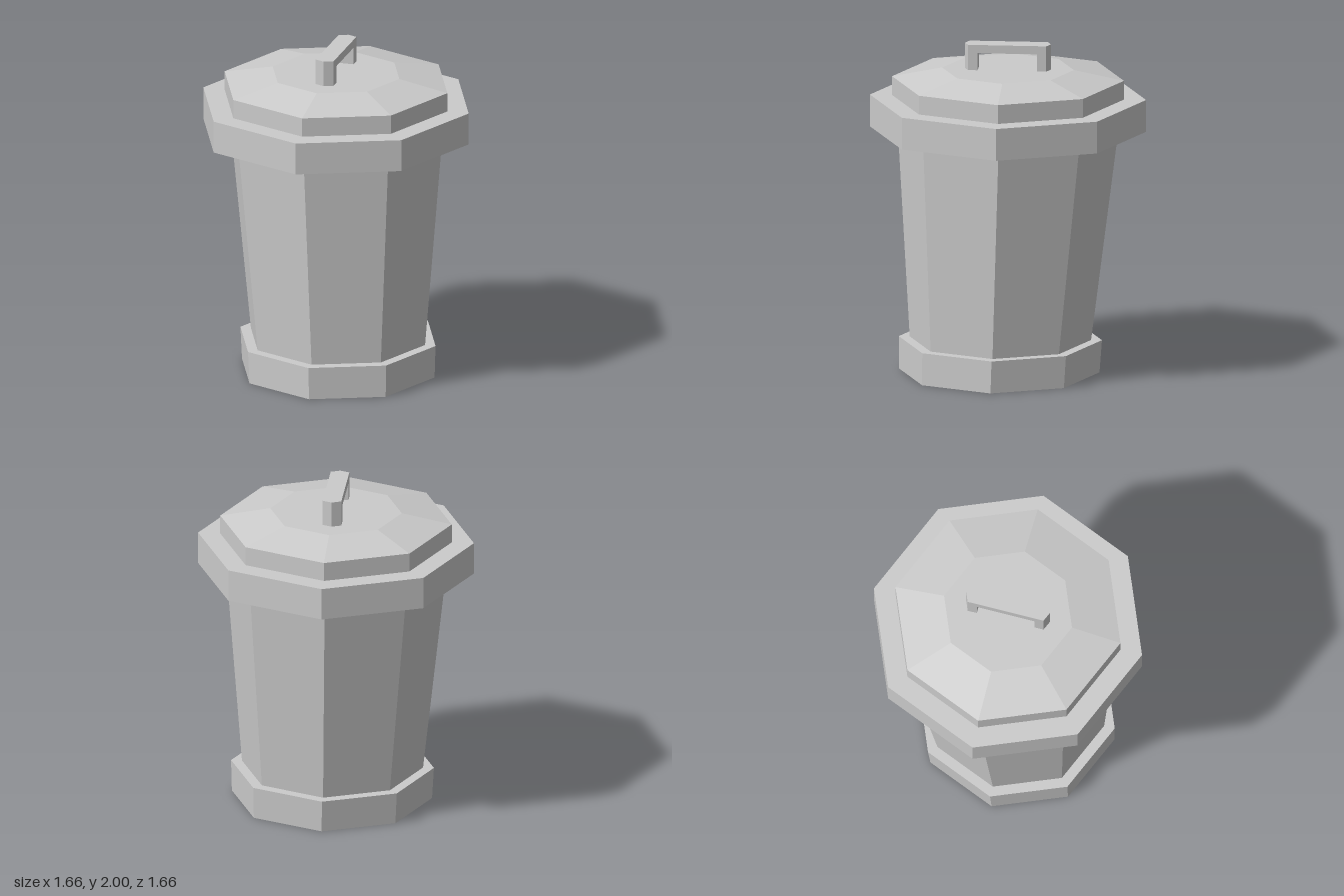
import * as THREE from 'three';

const SIDES = 8;
const LID_Y = 1.475; // underside of the lid, where the leaning bin meets it

export function createModel() {
  const group = new THREE.Group();
  const material = new THREE.MeshStandardMaterial({ color: 0xcccccc, flatShading: true });

  const add = (name, geometry) => {
    const mesh = new THREE.Mesh(geometry, material);
    mesh.name = name;
    group.add(mesh);
  };

  // Octagonal section between two heights, corners on the axes
  const section = (y0, y1, r0, r1) =>
    new THREE.CylinderGeometry(r1, r0, y1 - y0, SIDES).translate(0, (y0 + y1) / 2, 0);

  // Sideways lean that grows below the lid
  const lean = (geometry) => {
    const p = geometry.attributes.position;
    for (let i = 0; i < p.count; i++) {
      const drop = LID_Y - p.getY(i);
      p.setX(i, p.getX(i) + 0.02 * drop);
      p.setZ(i, p.getZ(i) + 0.034 * drop);
    }
    geometry.computeVertexNormals();
    return geometry;
  };

  // Bin
  add('base', lean(section(0, 0.197, 0.601, 0.609)));
  add('body', lean(section(0.19, LID_Y + 0.01, 0.543, 0.662)));

  // Lid
  add('lidRim', section(LID_Y, 1.67, 0.828, 0.828));
  add('lidStep', section(1.67, 1.785, 0.695, 0.695));
  add('lidTop', section(1.785, 1.845, 0.695, 0.395));

  // Handle: upright prisms drawn in plan as [x, z]
  const prism = (plan, y0, y1) => {
    const shape = new THREE.Shape(plan.map(([x, z]) => new THREE.Vector2(x, -z)));
    return new THREE.ExtrudeGeometry(shape, { depth: y1 - y0, bevelEnabled: false })
      .rotateX(-Math.PI / 2)
      .translate(0, y0, 0);
  };
  const w = 0.056;
  const tip = (s) => [[-s * w, s * 0.234], [0, s * 0.258], [s * w, s * 0.234]];
  add('handleBar', prism([...tip(1), ...tip(-1)], 1.95, 2));
  for (const s of [1, -1]) {
    add(s > 0 ? 'frontHandleLeg' : 'backHandleLeg',
      prism([...tip(s), [s * w, s * 0.178], [-s * w, s * 0.178]], 1.84, 1.95));
  }
  return group;
}
